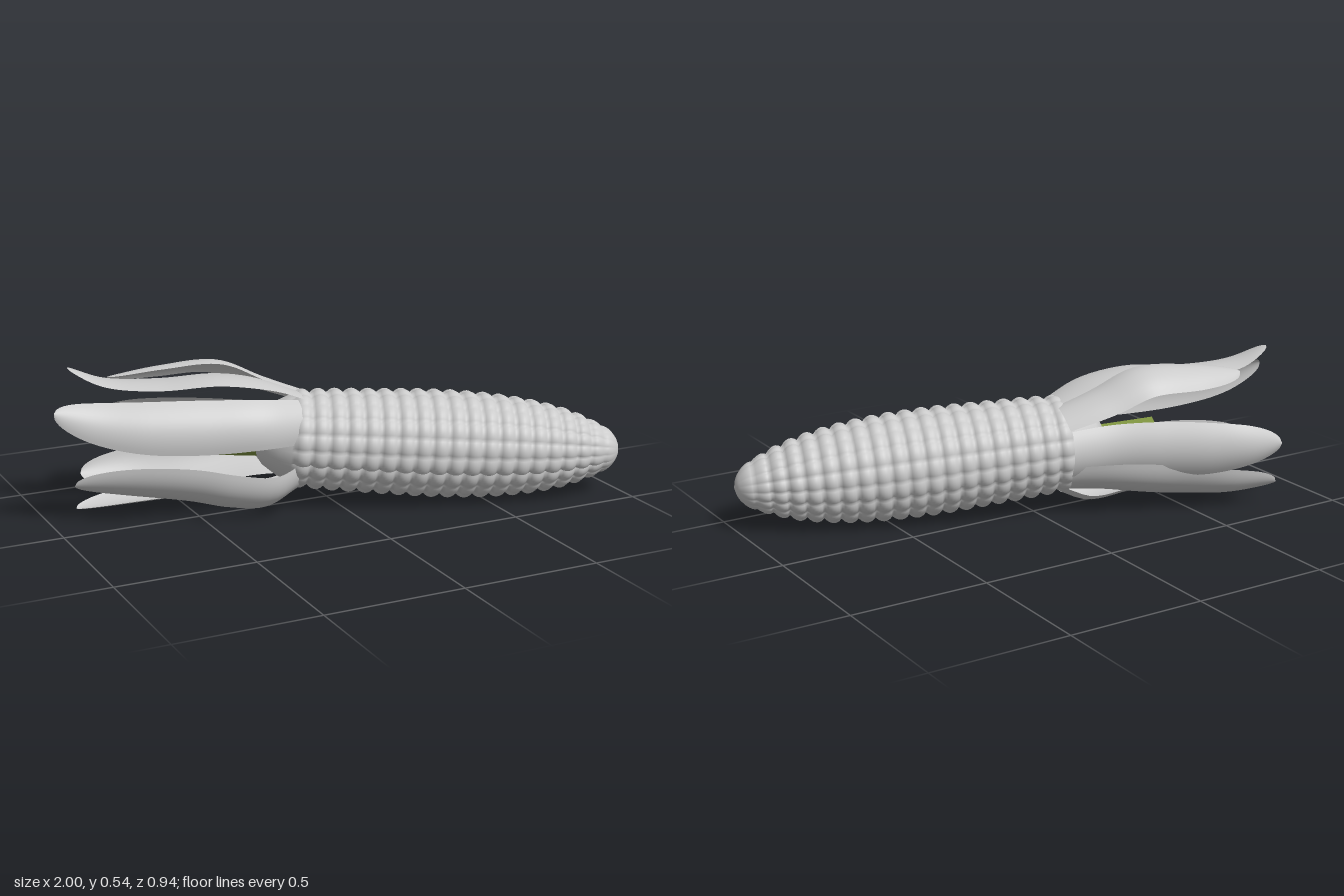
import * as THREE from 'three';

const V = (x, y, z) => new THREE.Vector3(x, y, z);
const BASE = V(-0.14, 0.243, -0.003);
const TIP = V(0.993, 0.157, 0.405);
const AXIS = TIP.clone().sub(BASE);
const LENGTH = AXIS.length();
AXIS.normalize();
const TURN = new THREE.Quaternion().setFromUnitVectors(V(0, 1, 0), AXIS);

const grey = new THREE.MeshStandardMaterial({ color: 0xcccccc });
const leafGrey = new THREE.MeshStandardMaterial({ color: 0xcccccc, side: THREE.DoubleSide });

// Cob: a lathed body whose surface swells into rings and rows of kernels
function makeCob() {
  const RINGS = 21, ROWS = 18, STEPS = 6, AROUND = ROWS * 8;
  const outline = new THREE.CatmullRomCurve3([
    [0, 0.176], [0.1, 0.184], [0.25, 0.191], [0.42, 0.197], [0.58, 0.192],
    [0.72, 0.174], [0.84, 0.142], [0.92, 0.104], [0.97, 0.07], [0.992, 0.035], [1, 0],
  ].map(([t, r]) => V(r, t * LENGTH, 0)));
  // Smooth butt end narrowing to the stem
  const points = [[0, -0.13], [0.06, -0.13], [0.1, -0.1], [0.135, -0.05], [0.155, -0.01]]
    .map(([r, y]) => new THREE.Vector2(r, y));
  const butt = points.length;
  const n = RINGS * STEPS;
  for (let i = 0; i <= n; i++) {
    const p = outline.getPointAt(i / n);
    points.push(new THREE.Vector2(Math.max(p.x, 0), p.y));
  }
  const geo = new THREE.LatheGeometry(points, AROUND);
  const pos = geo.attributes.position;
  for (let i = 0; i < pos.count; i++) {
    const ring = (i % points.length) - butt;
    const angle = Math.floor(i / points.length) / AROUND * Math.PI * 2;
    const r = Math.hypot(pos.getX(i), pos.getZ(i));
    if (ring < 0 || r < 1e-4) continue;
    const along = Math.abs(Math.sin(Math.PI * ring / STEPS)) ** 0.8;
    const across = Math.abs(Math.sin(angle * ROWS / 2)) ** 0.8;
    const fade = THREE.MathUtils.smoothstep(n - ring, 3, 24);
    const k = 1 - fade * (0.016 * (1 - along) + 0.006 * (1 - across)) / r;
    pos.setX(i, pos.getX(i) * k);
    pos.setZ(i, pos.getZ(i) * k);
  }
  geo.computeVertexNormals();
  const cob = new THREE.Mesh(geo, grey);
  cob.name = 'cob';
  cob.position.copy(BASE);
  cob.quaternion.copy(TURN);
  return cob;
}

// Stem: low-sided stalk with a cut end
function makeStem() {
  const stalk = new THREE.MeshStandardMaterial({ color: 0x7f9440, flatShading: true });
  const cut = new THREE.MeshStandardMaterial({ color: 0x8a7d5c, flatShading: true });
  const stem = new THREE.Mesh(new THREE.CylinderGeometry(0.06, 0.063, 0.26, 10), [stalk, cut, cut]);
  stem.name = 'stem';
  stem.position.copy(BASE).addScaledVector(AXIS, -0.2);
  stem.position.y -= 0.012;
  stem.quaternion.copy(TURN);
  return stem;
}

// Husk leaf: a cupped sheet swept along a curve, with a blunt rounded tip
function makeLeaf({ name, path, out, width, cup = 0.35 }) {
  const ALONG = 36, ACROSS = 12;
  const curve = new THREE.CatmullRomCurve3(path.map((p) => V(...p)));
  const geo = new THREE.PlaneGeometry(1, 1, ACROSS, ALONG);
  const pos = geo.attributes.position;
  const outward = V(...out).normalize();
  for (let j = 0; j <= ALONG; j++) {
    const t = 1 - (1 - j / ALONG) ** 1.4;
    const p = curve.getPointAt(t);
    const tangent = curve.getTangentAt(t);
    const normal = outward.clone().addScaledVector(tangent, -outward.dot(tangent)).normalize();
    const side = tangent.clone().cross(normal);
    const w = width * (0.82 + 0.18 * Math.sin(Math.PI * t)) * (0.03 + 0.97 * Math.sqrt(1 - t ** 6));
    for (let i = 0; i <= ACROSS; i++) {
      const s = (i / ACROSS) * 2 - 1;
      const q = p.clone().addScaledVector(side, s * w).addScaledVector(normal, (0.15 - s * s) * cup * w);
      pos.setXYZ(j * (ACROSS + 1) + i, q.x, q.y, q.z);
    }
  }
  geo.computeVertexNormals();
  const leaf = new THREE.Mesh(geo, leafGrey);
  leaf.name = name;
  return leaf;
}

const LEAVES = [
  { name: 'topHuskLeaf', out: [0, 1, -0.02], width: 0.098, cup: 0.15,
    path: [[-0.1, 0.405, 0], [-0.25, 0.465, -0.01], [-0.4, 0.49, -0.05], [-0.6, 0.48, -0.115], [-0.78, 0.495, -0.165], [-0.9, 0.545, -0.2]] },
  { name: 'topBackHuskLeaf', out: [0, 1, -0.45], width: 0.088,
    path: [[-0.06, 0.385, -0.1], [-0.2, 0.44, -0.15], [-0.35, 0.505, -0.195], [-0.55, 0.5, -0.23], [-0.74, 0.48, -0.25]] },
  { name: 'upperFrontHuskLeaf', out: [0, 0.4, 1], width: 0.096,
    path: [[-0.15, 0.34, 0.13], [-0.3, 0.355, 0.145], [-0.5, 0.36, 0.105], [-0.7, 0.37, 0.05], [-0.85, 0.39, -0.005], [-1, 0.43, -0.05]] },
  { name: 'lowerFrontHuskLeaf', out: [0, -0.65, 1], width: 0.088,
    path: [[-0.15, 0.11, 0.1], [-0.28, 0.085, 0.15], [-0.42, 0.1, 0.13], [-0.55, 0.125, 0.08], [-0.75, 0.145, 0], [-0.93, 0.155, -0.07]] },
  { name: 'bottomHuskLeaf', out: [0, -1, -0.1], width: 0.085,
    path: [[-0.1, 0.07, -0.02], [-0.2, 0.03, -0.05], [-0.45, 0.06, -0.1], [-0.65, 0.045, -0.16], [-0.88, 0.02, -0.22]] },
  { name: 'lowerBackHuskLeaf', out: [0, -0.85, -1], width: 0.095,
    path: [[-0.08, 0.13, -0.13], [-0.23, 0.125, -0.205], [-0.43, 0.1, -0.28], [-0.62, 0.085, -0.36], [-0.8, 0.085, -0.405]] },
  { name: 'backHuskLeaf', out: [0, 0, -1], width: 0.102,
    path: [[-0.06, 0.25, -0.18], [-0.2, 0.25, -0.215], [-0.35, 0.25, -0.295], [-0.52, 0.25, -0.395], [-0.64, 0.255, -0.445], [-0.77, 0.255, -0.468]] },
];

export function createModel() {
  const model = new THREE.Group();
  model.name = 'cornCob';
  model.add(makeCob(), makeStem());
  const husk = new THREE.Group();
  husk.name = 'husk';
  LEAVES.forEach((leaf) => husk.add(makeLeaf(leaf)));
  model.add(husk);
  return model;
}
